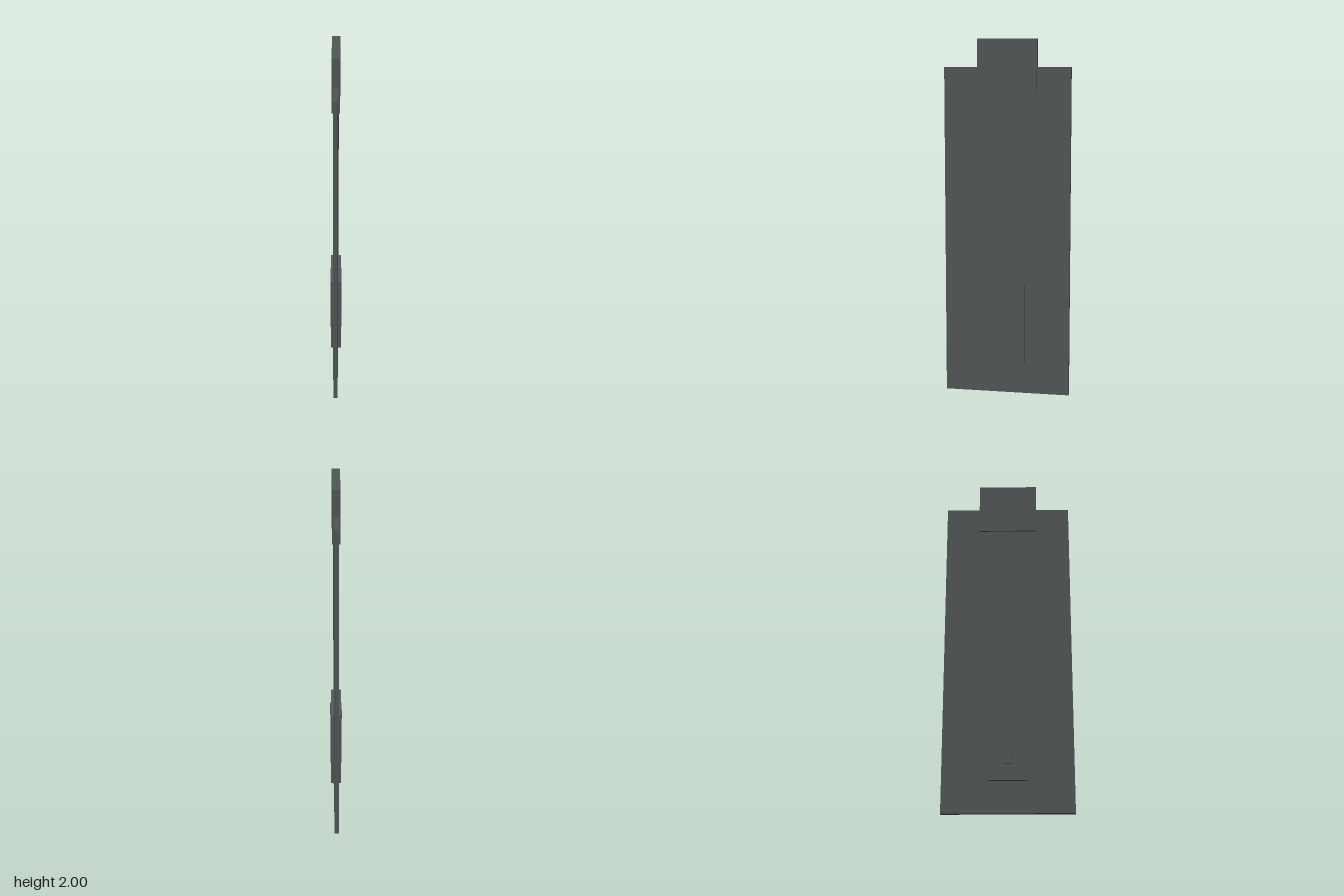
import * as THREE from 'three';

const slate = new THREE.MeshStandardMaterial({ color: 0x505556 });
slate.name = 'slate grey';

function block(name, width, bottom, top, depth) {
  const mesh = new THREE.Mesh(new THREE.BoxGeometry(width, top - bottom, depth), slate);
  mesh.name = name;
  mesh.position.y = (bottom + top) / 2;
  return mesh;
}

// Upright plate with a pointed top, running through the slab along x
function pointedPlate(name, halfWidth, bottom, shoulder, peak, thickness) {
  const shape = new THREE.Shape([
    new THREE.Vector2(-halfWidth, bottom),
    new THREE.Vector2(halfWidth, bottom),
    new THREE.Vector2(halfWidth, shoulder),
    new THREE.Vector2(0, peak),
    new THREE.Vector2(-halfWidth, shoulder),
  ]);
  const geometry = new THREE.ExtrudeGeometry(shape, { depth: thickness, bevelEnabled: false });
  geometry.translate(0, 0, -thickness / 2);
  geometry.rotateY(Math.PI / 2);
  const mesh = new THREE.Mesh(geometry, slate);
  mesh.name = name;
  return mesh;
}

export function createModel() {
  const model = new THREE.Group();
  model.name = 'slab';
  model.add(
    block('mainPanel', 0.024, 0, 1.846, 0.71),
    block('topBlock', 0.044, 1.7, 2, 0.334),
    pointedPlate('pointedPanel', 0.104, 0.175, 0.635, 0.747, 0.058),
    pointedPlate('centreRidge', 0.023, 0.265, 0.6, 0.66, 0.066),
  );
  return model;
}
